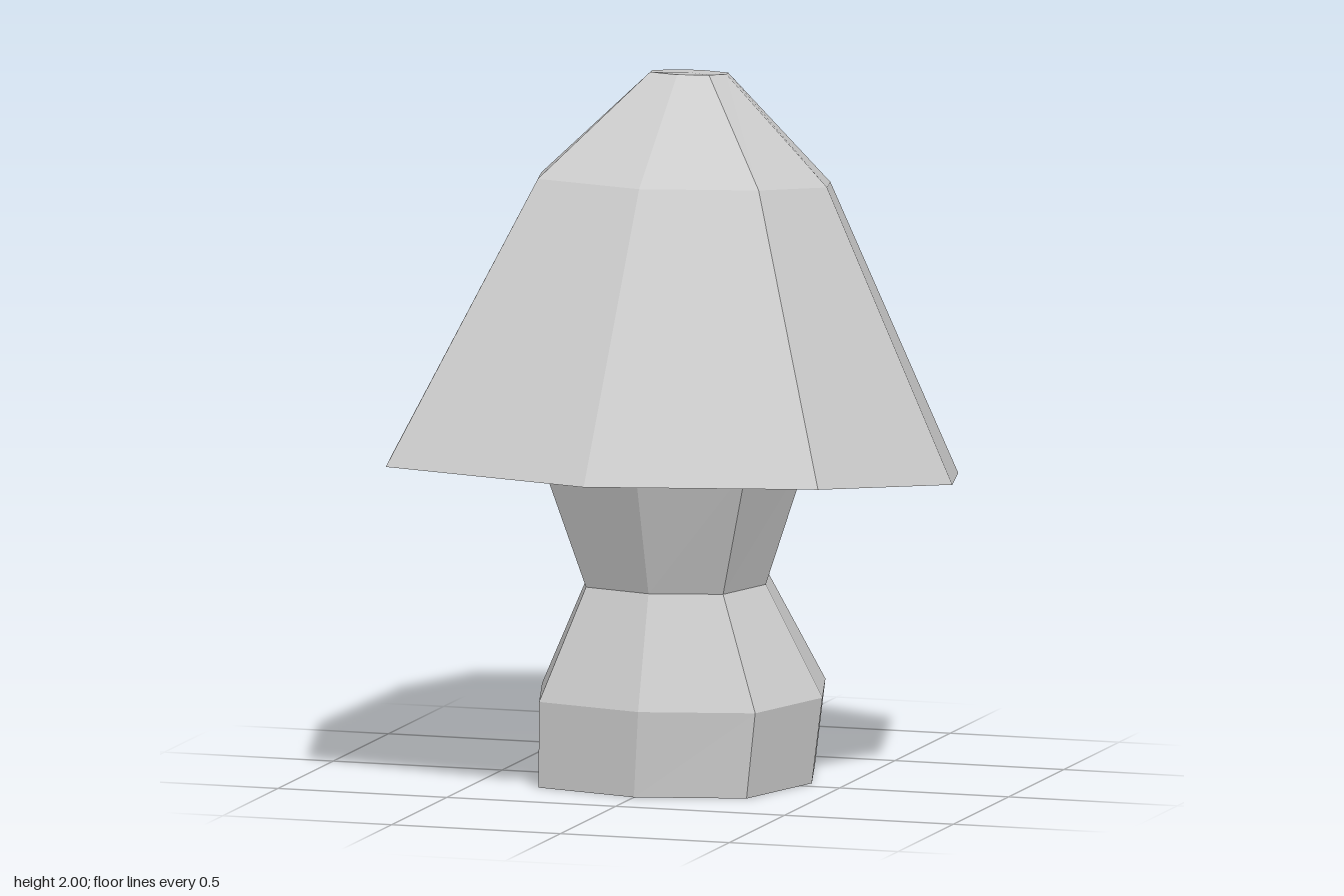
import * as THREE from 'three';

// Eight-sided ring, starting at the front and turning towards +x.
// ax, az: half widths on the axes; kx, kz: half widths at the corners;
// y is [front, side, back], so a ring can lean.
function ring(y, ax, az, kx, kz, cz, cx = 0) {
  const [f, s, b] = Array.isArray(y) ? y : [y, y, y];
  return [
    [0, f, az], [kx, f, kz], [ax, s, 0], [kx, b, -kz],
    [0, b, -az], [-kx, b, -kz], [-ax, s, 0], [-kx, f, kz],
  ].map(([x, py, z]) => new THREE.Vector3(x + cx, py, z + cz));
}

// Joins rings from bottom to top and closes both ends with fans.
function loft(rings) {
  const pts = [];
  const tri = (...v) => v.forEach((p) => pts.push(p.x, p.y, p.z));
  const centre = (r) => r.reduce((c, p) => c.add(p), new THREE.Vector3()).divideScalar(r.length);
  const first = rings[0], last = rings[rings.length - 1];
  const bottom = centre(first), top = centre(last);
  for (let i = 0; i < 8; i++) {
    const j = (i + 1) % 8;
    tri(bottom, first[j], first[i]);
    tri(top, last[i], last[j]);
    for (let k = 0; k + 1 < rings.length; k++) {
      const a = rings[k], b = rings[k + 1];
      tri(a[i], a[j], b[j]);
      tri(a[i], b[j], b[i]);
    }
  }
  const g = new THREE.BufferGeometry();
  g.setAttribute('position', new THREE.Float32BufferAttribute(pts, 3));
  g.computeVertexNormals(); // unshared corners give flat facets
  return g;
}

export function createModel() {
  const group = new THREE.Group();
  group.name = 'mushroom';
  const grey = new THREE.MeshStandardMaterial({ color: 0xcccccc });
  grey.name = 'pale grey';

  const add = (name, rings) => {
    const mesh = new THREE.Mesh(loft(rings), grey);
    mesh.name = name;
    group.add(mesh);
  };

  // Stem: heavy foot, narrow waist, flared neck running into the cap
  add('stem', [
    ring(0, 0.4, 0.388, 0.308, 0.31, -0.053),
    ring(0.245, 0.415, 0.4, 0.32, 0.318, -0.057, 0.015),
    ring(0.56, 0.263, 0.258, 0.203, 0.203, -0.055),
    ring(0.94, 0.39, 0.38, 0.305, 0.305, -0.055),
    ring(1.0, 0.385, 0.375, 0.3, 0.3, -0.055),
  ]);

  // Cap: hollowed underside, leaning rim, shoulder and small flat top
  add('cap', [
    ring(0.975, 0.36, 0.35, 0.28, 0.28, -0.055),
    ring([0.955, 0.88, 0.805], 0.83, 0.8, 0.64, 0.635, -0.01),
    ring([1.727, 1.69, 1.65], 0.423, 0.408, 0.327, 0.325, -0.12),
    ring([2.0, 1.99, 1.98], 0.11, 0.108, 0.087, 0.087, -0.165),
  ]);

  return group;
}
